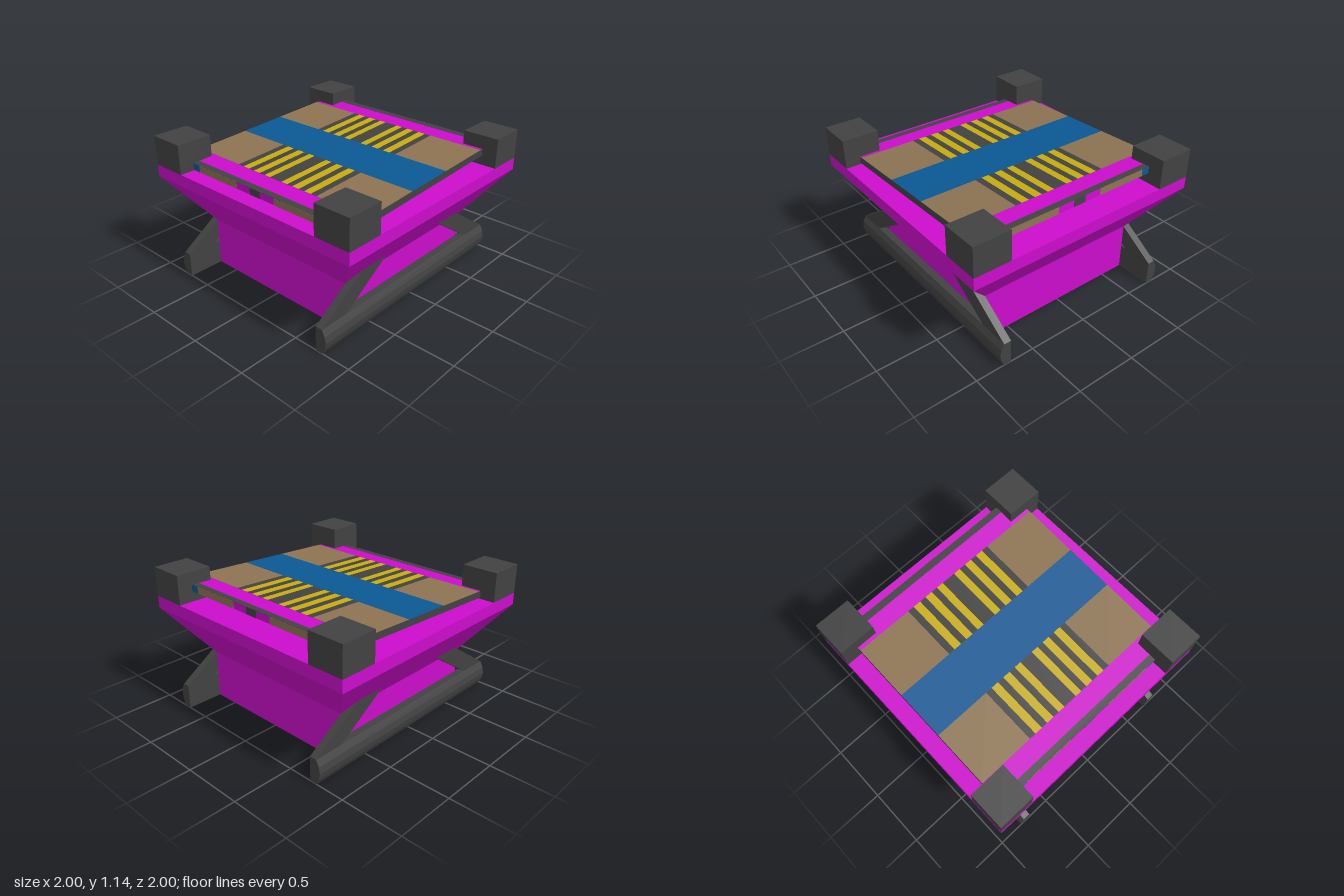
import * as THREE from 'three';

const mat = (name, color) => {
  const m = new THREE.MeshStandardMaterial({ color });
  m.name = name;
  return m;
};

export function createModel() {
  const magenta = mat('magenta', 0xcc0dcc);
  const dark = mat('darkGrey', 0x424242);
  const tan = mat('tan', 0x8c7351);
  const blue = mat('blue', 0x0b5894);
  const yellow = mat('yellow', 0xc7ac0e);

  const model = new THREE.Group();
  model.name = 'landingPlatform';

  const add = (parent, name, geometry, material, x = 0, y = 0, z = 0) => {
    const mesh = new THREE.Mesh(geometry, material);
    mesh.name = name;
    mesh.position.set(x, y, z);
    parent.add(mesh);
    return mesh;
  };
  const box = (w, h, d) => new THREE.BoxGeometry(w, h, d);

  // Base, flared hopper and top slab
  add(model, 'base', box(1.4, 0.4, 1.4), magenta, 0, 0.2, 0);
  const flare = new THREE.CylinderGeometry(Math.SQRT2, 0.7 * Math.SQRT2, 0.4, 4, 1, true, Math.PI / 4)
    .toNonIndexed();
  flare.computeVertexNormals();
  add(model, 'flare', flare, magenta, 0, 0.6, 0);
  add(model, 'topSlab', box(2, 0.1, 2), magenta, 0, 0.85, 0);

  // Corner blocks
  for (const sx of [-1, 1]) for (const sz of [-1, 1]) {
    add(model, 'cornerBlock', box(0.3, 0.24, 0.3), dark, sx * 0.85, 1.02, sz * 0.85);
  }

  // Tilted deck: dark sides and underside, magenta top and ends
  const deck = new THREE.Group();
  deck.name = 'deck';
  deck.position.y = 0.97;
  deck.rotation.x = 0.0465;
  model.add(deck);
  const H = 0.875, T = 0.055, P = 0.002;
  add(deck, 'deckPlate', box(2 * H, T, 2 * H), [dark, dark, magenta, dark, magenta, magenta]);

  // Painted top panels
  const paintTop = (name, x0, x1, z0, z1, m) =>
    add(deck, name, box(x1 - x0, P, z1 - z0), m, (x0 + x1) / 2, T / 2 + P / 2, (z0 + z1) / 2);
  paintTop('blueBand', -H, H, -0.203, 0.203, blue);
  const edges = [-0.408, -0.353, -0.289, -0.235, -0.171, -0.118, -0.059,
    0.059, 0.118, 0.171, 0.235, 0.289, 0.353, 0.408];
  for (const [z0, z1] of [[-0.67, -0.203], [0.203, 0.67]]) {
    paintTop('tanPanel', -H, edges[0], z0, z1, tan);
    paintTop('tanPanel', -edges[0], H, z0, z1, tan);
    for (let i = 0; i < edges.length - 1; i++) {
      const bright = i % 2 === 1;
      paintTop(bright ? 'yellowStripe' : 'darkStripe', edges[i], edges[i + 1], z0, z1, bright ? yellow : dark);
    }
  }
  paintTop('frontEdgeStripe', -H, H, 0.82, H, dark);
  paintTop('backEdgeStripe', -H, H, -H, -0.82, dark);

  // Painted panels on the front and back ends of the deck
  for (const sz of [-1, 1]) {
    const z = sz * (H + P / 2);
    add(deck, 'endCentre', box(0.106, T, P), dark, 0, 0, z);
    for (const sx of [-1, 1]) {
      add(deck, 'endTan', box(0.433, T, P), tan, sx * 0.4115, 0, z);
      add(deck, 'endBlue', box(H - 0.628, T, P), blue, sx * (H + 0.628) / 2, 0, z);
    }
  }

  // Side skids: bulged rail with two slanted struts
  const outline = (pts) => new THREE.Shape(pts.map(([a, b]) => new THREE.Vector2(a, b)));
  const extrude = (pts, depth) =>
    new THREE.ExtrudeGeometry(outline(pts), { depth, bevelEnabled: false });
  const railGeo = extrude([[0.7, 0], [0.76, 0], [0.785, 0.05], [0.795, 0.1],
    [0.785, 0.15], [0.76, 0.2], [0.7, 0.2]], 2).translate(0, 0, -1);
  // Strut outline lies in the z-y plane
  const strutGeo = extrude([[-1, 0.2], [-0.75, 0.2], [-0.33, 0.48], [-0.58, 0.48]], 0.06)
    .rotateY(Math.PI / 2).translate(0.7, 0, 0);
  for (const side of [0, 1]) {
    const skid = new THREE.Group();
    skid.name = side ? 'rightSkid' : 'leftSkid';
    skid.rotation.y = side * Math.PI;
    add(skid, 'rail', railGeo, dark);
    add(skid, 'strut', strutGeo, dark);
    const mirrored = strutGeo.clone().rotateY(Math.PI).translate(1.46, 0, 0);
    add(skid, 'strut', mirrored, dark);
    model.add(skid);
  }

  return model;
}
